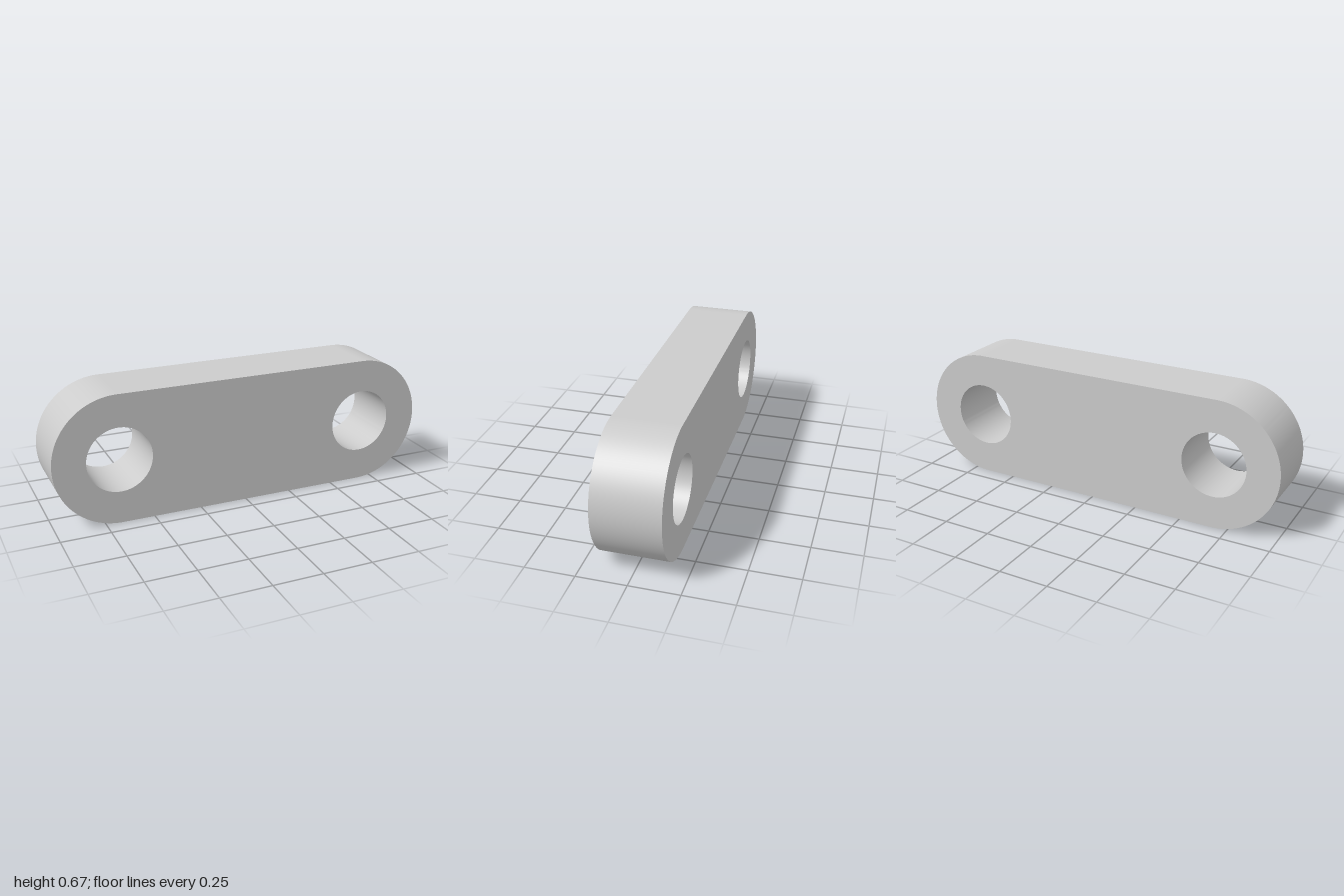
import * as THREE from 'three';
import { toCreasedNormals } from 'three/addons/utils/BufferGeometryUtils.js';

const R = 1 / 3;        // radius of the rounded ends
const HOLE = 1 / 6;     // radius of the pin holes
const PIN_X = 2 / 3;    // distance of each hole from the centre
const DEPTH = 1 / 3;    // thickness of the plate

export function createModel() {
  const group = new THREE.Group();
  group.name = 'link';

  // Stadium outline: two half circles joined by straight edges
  const outline = new THREE.Shape();
  outline.absarc(PIN_X, R, R, -Math.PI / 2, Math.PI / 2, false);
  outline.absarc(-PIN_X, R, R, Math.PI / 2, Math.PI * 1.5, false);
  outline.closePath();

  // One round through-hole at the centre of each end
  for (const side of [-1, 1]) {
    const hole = new THREE.Path();
    hole.absarc(side * PIN_X, R, HOLE, 0, Math.PI * 2, true);
    outline.holes.push(hole);
  }

  // Plate with sharp rims and smooth curved walls
  const geometry = new THREE.ExtrudeGeometry(outline, {
    depth: DEPTH,
    bevelEnabled: false,
    curveSegments: 48,
  });
  geometry.translate(0, 0, -DEPTH / 2);

  const plate = new THREE.Mesh(
    toCreasedNormals(geometry, 0.5),
    new THREE.MeshStandardMaterial({ color: 0xcccccc })
  );
  plate.name = 'linkPlate';
  group.add(plate);

  return group;
}
